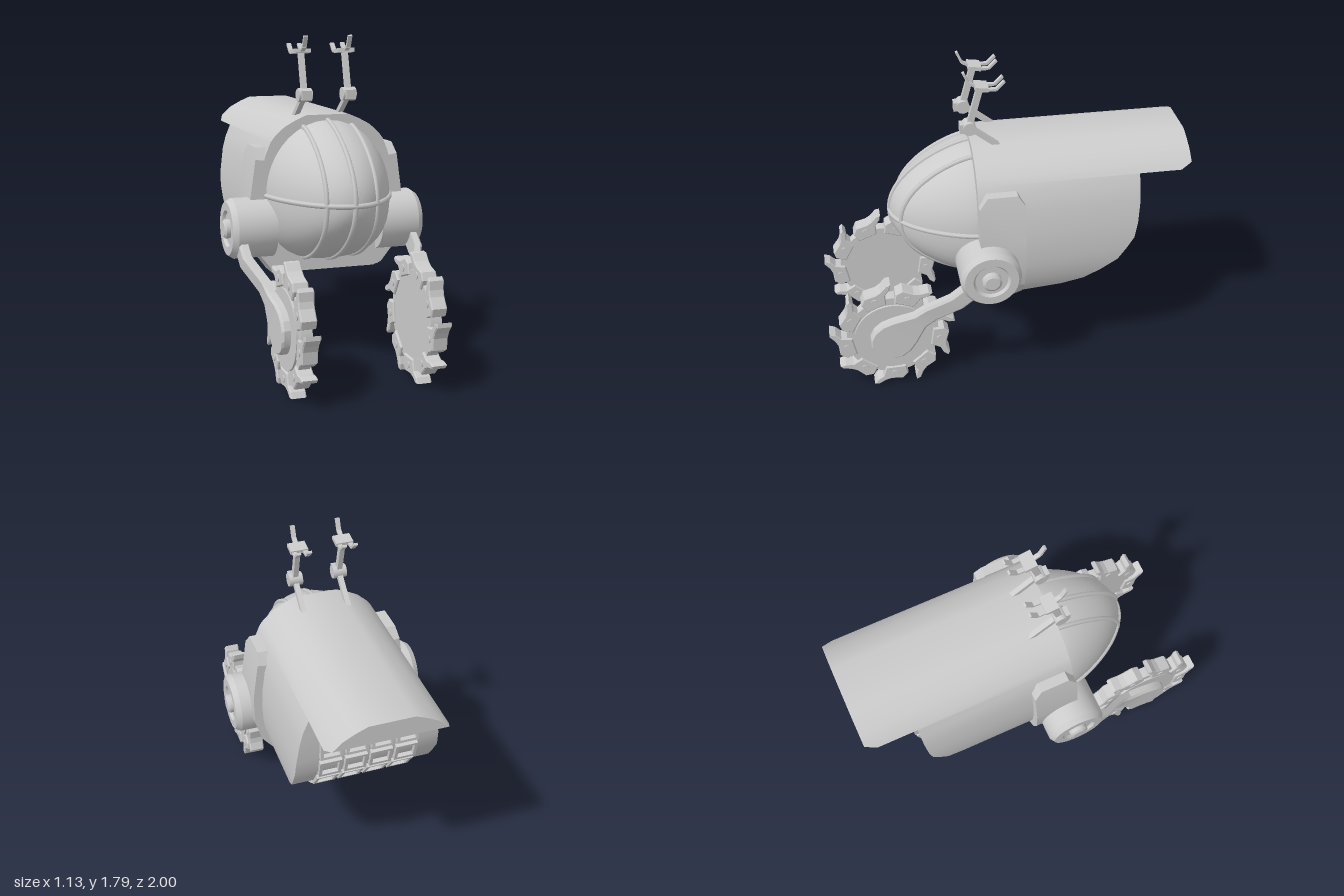
import * as THREE from 'three';
import { toCreasedNormals, mergeGeometries } from 'three/addons/utils/BufferGeometryUtils.js';

const material = new THREE.MeshStandardMaterial({ color: 0xcccccc, roughness: 0.7 });
const CX = 0.016; // centre line of the hull
const V = (x, y, z) => new THREE.Vector3(x, y, z);

function add(parent, name, geometry) {
  const mesh = new THREE.Mesh(geometry, material);
  mesh.name = name;
  parent.add(mesh);
  return mesh;
}

// Closed solid through a list of equal-sized convex rings, turned to face outwards.
function loft(rings, crease = 0.5) {
  const tris = [], n = rings[0].length, last = rings[rings.length - 1];
  for (let i = 0; i + 1 < rings.length; i++) for (let j = 0; j < n; j++) {
    const a = rings[i], b = rings[i + 1], k = (j + 1) % n;
    tris.push([a[j], a[k], b[k]], [a[j], b[k], b[j]]);
  }
  for (let j = 1; j + 1 < n; j++) {
    tris.push([rings[0][0], rings[0][j + 1], rings[0][j]], [last[0], last[j], last[j + 1]]);
  }
  let volume = 0;
  for (const [a, b, c] of tris) volume += a.dot(b.clone().cross(c));
  const pts = tris.flatMap(([a, b, c]) => (volume < 0 ? [a, c, b] : [a, b, c]));
  const g = new THREE.BufferGeometry().setFromPoints(pts);
  g.computeVertexNormals();
  return toCreasedNormals(g, crease);
}

// Extrudes a (z, y) outline across x, centred on x = 0.
function extrudeAcross(shape, width, bevel = 0) {
  const g = new THREE.ExtrudeGeometry(shape, { depth: width - 2 * bevel, bevelEnabled: bevel > 0,
    bevelSize: bevel, bevelThickness: bevel, bevelOffset: -bevel, bevelSegments: 1 });
  return g.translate(0, 0, bevel - width / 2).rotateY(-Math.PI / 2);
}

// Square bar between two points, w wide in x and t thick.
function bar(a, b, w, t) {
  const dir = b.clone().sub(a).normalize();
  const side = V(1, 0, 0).cross(dir).normalize().multiplyScalar(t / 2);
  const ring = p => [[-1, -1], [1, -1], [1, 1], [-1, 1]].map(
    ([i, j]) => p.clone().add(V(i * w / 2, 0, 0)).addScaledVector(side, j));
  return loft([ring(a), ring(b)], 0.1);
}

// Hull: [height, half width, rear z]
function buildHull(root) {
  const levels = [
    [0.51, 0.30, -0.1], [0.55, 0.33, -0.3], [0.59, 0.35, -0.42], [0.65, 0.37, -0.51], [0.72, 0.385, -0.6],
    [0.79, 0.39, -0.645], [0.86, 0.392, -0.685], [0.95, 0.388, -0.7], [1.08, 0.37, -0.71], [1.15, 0.352, -0.71],
    [1.22, 0.323, -0.71], [1.22, 0.323, -0.94], [1.25, 0.3, -1], [1.30, 0.245, -1], [1.335, 0.18, -1], [1.36, 0.12, -1]];
  add(root, 'hull', loft(levels.map(([y, w, b]) =>
    [V(CX - w, y, 0.165), V(CX + w, y, 0.165), V(CX + w, y, b), V(CX - w, y, b)])));

  // Strap that wraps under the hull: [outer x, outer y, inner x, inner y, front z, rear z]
  const half = [
    [0.395, 1.19, 0.34, 1.19, 0.12, -0.04], [0.408, 1.13, 0.34, 1.12, 0.165, -0.08],
    [0.438, 0.92, 0.37, 0.92, 0.165, -0.08], [0.438, 0.75, 0.37, 0.75, 0.165, -0.08],
    [0.40, 0.62, 0.34, 0.64, 0.165, -0.08], [0.32, 0.52, 0.29, 0.57, 0.165, -0.08],
    [0.30, 0.485, 0.27, 0.56, 0.1, -0.03]];
  const path = [...half.map(p => [1, p]), ...half.slice().reverse().map(p => [-1, p])];
  add(root, 'hullStrap', loft(path.map(([s, [ox, oy, ix, iy, f, b]]) =>
    [V(CX + s * ox, oy, f), V(CX + s * ox, oy, b), V(CX + s * ix, iy, b), V(CX + s * ix, iy, f)]), 0.3));

  // Framed tiles following the curved rear wall: upper and lower (z, y)
  const rows = [[-0.712, 1.08, -0.706, 0.96], [-0.7, 0.935, -0.672, 0.825],
    [-0.652, 0.8, -0.575, 0.695], [-0.555, 0.685, -0.415, 0.597]];
  const tiles = new THREE.Group();
  tiles.name = 'rearTiles';
  for (const [z0, y0, z1, y1] of rows) {
    const up = V(0, y0 - y1, z0 - z1), h = up.length() / 2, w = 0.06, e = 0.016;
    up.normalize();
    const rect = (S, a, b) => new S([[-a, -b], [a, -b], [a, b], [-a, b]].map(p => new THREE.Vector2(...p)));
    const shape = rect(THREE.Shape, w, h);
    shape.holes.push(rect(THREE.Path, w - e, h - e));
    const left = V(-1, 0, 0);
    const turn = new THREE.Matrix4().makeBasis(left, up, left.clone().cross(up));
    for (let i = 0; i < 4; i++) {
      const g = new THREE.ExtrudeGeometry(shape, { depth: 0.032, bevelEnabled: false }).translate(0, 0, -0.01);
      g.applyMatrix4(turn).translate(CX + (i - 1.5) * 0.138, (y0 + y1) / 2, (z0 + z1) / 2);
      add(tiles, 'tileFrame', g);
    }
  }
  root.add(tiles);
}

// Nose dome: rounder above its waist, squarer below
const WAIST = 0.93, HALF = 0.35, TOP = 0.4, BOTTOM = 0.365;
const domeNorm = (x, y) => {
  const p = y > 0 ? 2 : 2.6;
  return (Math.abs(x / HALF) ** p + Math.abs(y / (y > 0 ? TOP : BOTTOM)) ** p) ** (1 / p);
};
const domeZ = s => 0.165 + 0.445 * Math.max(0, 1 - s * s) ** 0.75;

function buildDome(root) {
  const g = new THREE.SphereGeometry(1, 40, 16, 0, Math.PI * 2, 0, Math.PI / 2).rotateX(Math.PI / 2);
  const pos = g.attributes.position;
  for (let i = 0; i < pos.count; i++) {
    const s = Math.hypot(pos.getX(i), pos.getY(i)), t = Math.atan2(pos.getY(i), pos.getX(i));
    const k = s / domeNorm(Math.cos(t), Math.sin(t));
    pos.setXYZ(i, CX + k * Math.cos(t), WAIST + k * Math.sin(t), domeZ(Math.min(s, 1)));
  }
  add(root, 'noseDome', toCreasedNormals(g, 0.6));

  // Ribs: three upright, one along the waist
  const rib = (name, from, to, point) => {
    const pts = [];
    for (let i = 0; i <= 20; i++) {
      const [x, y] = point((from + to) / 2 - (to - from) / 2 * Math.cos(Math.PI * i / 20));
      pts.push(V(CX + x, WAIST + y, domeZ(domeNorm(x, y))));
    }
    add(root, name, new THREE.TubeGeometry(new THREE.CatmullRomCurve3(pts), 32, 0.014, 6));
  };
  for (const x of [-0.138, 0, 0.138]) {
    const low = -BOTTOM * (1 - Math.abs(x / HALF) ** 2.6) ** (1 / 2.6);
    rib('domeRib', low, TOP * Math.sqrt(1 - (x / HALF) ** 2), y => [x, y]);
  }
  rib('waistRib', -HALF, HALF, x => [x, 0]);
}

// Hub, arm and toothed wheel on one side (s = 1 left, -1 right)
const HUB = [0.755, 0.12], AXLE = [0.33, 0.65]; // (y, z)
function buildLimb(root, s) {
  const limb = new THREE.Group();
  limb.name = s > 0 ? 'leftLimb' : 'rightLimb';
  root.add(limb);

  const profile = [[0, 0.3], [0.165, 0.3], [0.165, 0.515], [0.145, 0.545], [0.1, 0.545], [0.088, 0.53],
    [0.052, 0.53], [0.052, 0.555], [0.038, 0.565], [0, 0.565]].map(p => new THREE.Vector2(...p));
  const hub = new THREE.LatheGeometry(profile, 36).rotateZ(-s * Math.PI / 2).translate(0, ...HUB);
  add(limb, 'hub', toCreasedNormals(hub, 0.4));

  // Arm: [distance from axle, half width, inner x]
  const sections = [[-0.125, 0.025, 0.385], [-0.112, 0.06, 0.385], [-0.08, 0.1, 0.385], [-0.035, 0.122, 0.385],
    [0.02, 0.124, 0.385], [0.08, 0.105, 0.385], [0.19, 0.055, 0.39], [0.27, 0.052, 0.4], [0.44, 0.052, 0.465], [0.62, 0.052, 0.468]];
  const dy = HUB[0] - AXLE[0], dz = HUB[1] - AXLE[1], L = Math.hypot(dy, dz);
  add(limb, 'arm', loft(sections.map(([d, h, x]) =>
    [[-h, x], [h, x], [h, x + 0.035], [h - 0.014, x + 0.048], [0.014 - h, x + 0.048], [-h, x + 0.035]].map(
      ([o, px]) => V(s * px, AXLE[0] + (d * dy - o * dz) / L, AXLE[1] + (d * dz + o * dy) / L))), 0.35));

  const wheel = new THREE.Group();
  wheel.name = 'toothedWheel';
  wheel.position.set(s * 0.345, ...AXLE);
  limb.add(wheel);
  const disc = (r, w) => new THREE.CylinderGeometry(r, r, w, 36).rotateZ(Math.PI / 2);
  add(wheel, 'disc', disc(0.255, 0.06));
  add(wheel, 'discFace', disc(0.212, 0.04).translate(s * 0.022, 0, 0));

  // One hooked tooth as (degrees, radius), repeated nine times with its pin
  const outline = [[-16, 0.225], [-15, 0.285], [-8, 0.312], [4, 0.305], [10, 0.318], [16, 0.35], [20, 0.352],
    [19, 0.318], [14, 0.285], [13, 0.225]];
  const tooth = new THREE.Shape(outline.map(([a, r]) => {
    const t = THREE.MathUtils.degToRad(a);
    return new THREE.Vector2(r * Math.cos(t), r * Math.sin(t));
  }));
  const toothGeometry = extrudeAcross(tooth, 0.085, 0.006);
  const pinGeometry = new THREE.CylinderGeometry(0.02, 0.02, 0.096, 8).rotateZ(Math.PI / 2).translate(0, 0, 0.262);
  for (let i = 0; i < 9; i++) {
    const a = Math.PI / 2 + i * Math.PI * 2 / 9;
    add(wheel, 'tooth', toothGeometry).rotation.x = a;
    add(wheel, 'toothPin', pinGeometry).rotation.x = a;
  }
}

// Jointed feeler with a three-pronged claw
function buildFeeler(root, x) {
  const feeler = new THREE.Group();
  feeler.name = 'feeler';
  feeler.position.x = x;
  root.add(feeler);
  const elbow = V(0, 1.47, 0.175), wrist = V(0, 1.695, 0.115);
  add(feeler, 'lowerRod', bar(V(0, 1.335, 0.005), elbow, 0.028, 0.028));
  add(feeler, 'elbow', new THREE.CylinderGeometry(0.037, 0.037, 0.075, 12).rotateZ(Math.PI / 2).translate(0, elbow.y, elbow.z));
  add(feeler, 'elbowPad', new THREE.BoxGeometry(0.055, 0.05, 0.03).translate(0, 1.47, 0.21));
  add(feeler, 'upperRod', bar(elbow, wrist, 0.028, 0.034));
  add(feeler, 'wrist', bar(V(0, 1.705, 0.145), V(0, 1.695, 0.075), 0.095, 0.022));
  const prong = (px, pts) => mergeGeometries(pts.slice(1).map((p, i) =>
    bar(V(px, ...pts[i]), V(px, ...p), 0.024, 0.013)));
  add(feeler, 'frontProng', prong(0, [[1.7, 0.13], [1.725, 0.175], [1.785, 0.202]]));
  for (const px of [-0.03, 0.03]) {
    add(feeler, 'rearProng', prong(px, [[1.693, 0.09], [1.692, 0.035], [1.735, -0.008]]));
  }
}

export function createModel() {
  const root = new THREE.Group();
  root.name = 'walkerMachine';
  buildHull(root);
  buildDome(root);
  for (const s of [1, -1]) buildLimb(root, s);
  for (const x of [-0.12, 0.13]) buildFeeler(root, x);
  return root;
}
